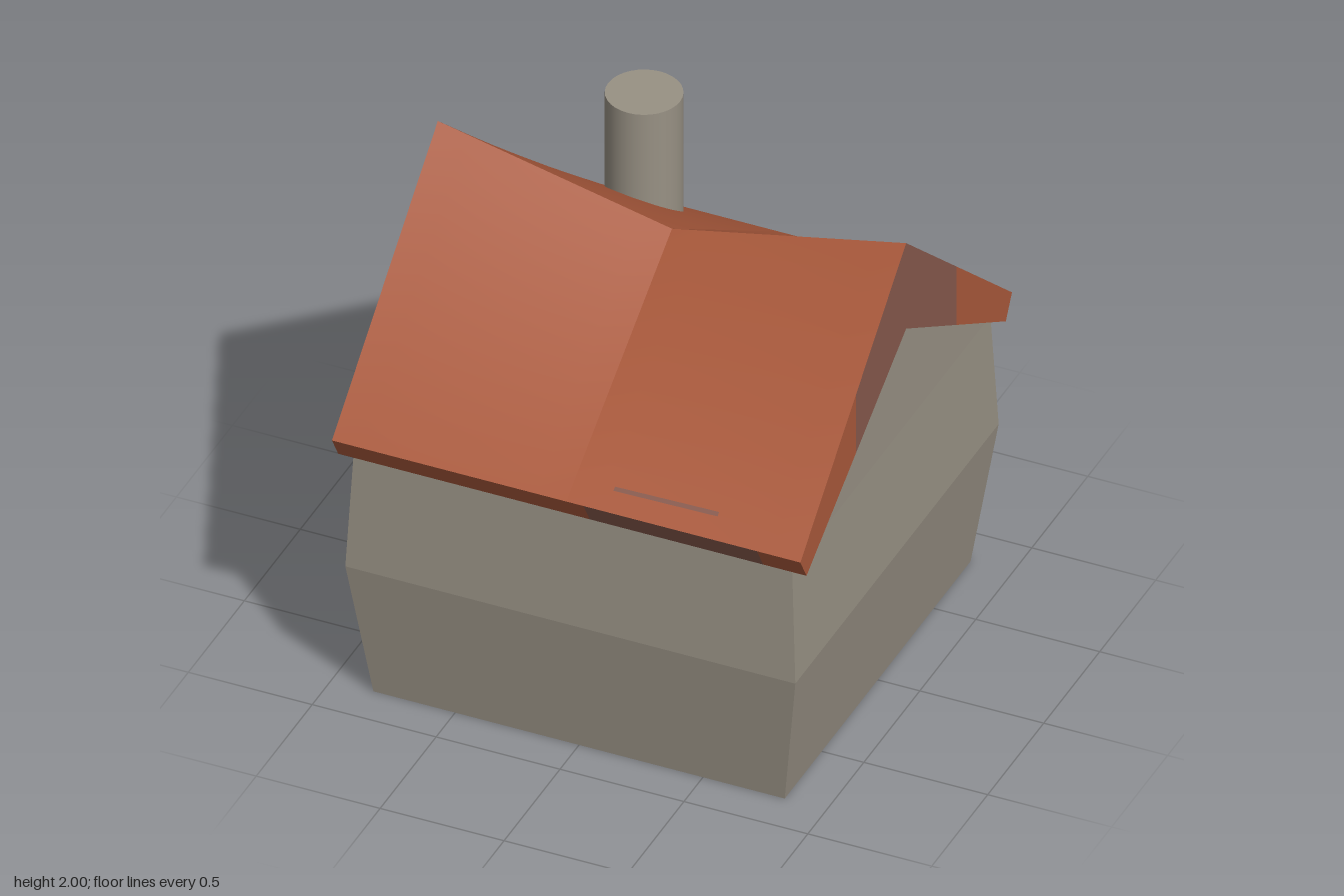
import * as THREE from 'three';

const mat = (name, color) => {
  const m = new THREE.MeshStandardMaterial({ color });
  m.name = name;
  return m;
};

// Bilinear surface over three or four corners, given counter-clockwise seen from outside
function patch(corners, n = 1) {
  const pos = [], idx = [];
  if (corners.length === 3) {
    pos.push(...corners.flat());
    idx.push(0, 1, 2);
  } else {
    const [a, b, c, d] = corners.map((p) => new THREE.Vector3(...p));
    for (let j = 0; j <= n; j++) {
      for (let i = 0; i <= n; i++) {
        const low = a.clone().lerp(b, i / n), high = d.clone().lerp(c, i / n);
        pos.push(...low.lerp(high, j / n).toArray());
        if (i < n && j < n) {
          const k = j * (n + 1) + i;
          idx.push(k, k + 1, k + n + 2, k, k + n + 2, k + n + 1);
        }
      }
    }
  }
  const g = new THREE.BufferGeometry();
  g.setAttribute('position', new THREE.Float32BufferAttribute(pos, 3));
  g.setIndex(idx);
  g.computeVertexNormals();
  return g;
}

// Mirror corners in x and/or z, keeping the outside facing out
function mirror(corners, sx, sz) {
  const m = corners.map(([x, y, z]) => [x * sx, y, z * sz]);
  return sx * sz < 0 ? m.reverse() : m;
}

export function createModel() {
  const house = new THREE.Group();
  house.name = 'house';
  const stone = mat('stoneGrey', 0x989184);
  const tile = mat('roofOrange', 0xab5a3c);
  const trim = mat('trimBrown', 0x885a4d);
  const wood = mat('woodBrown', 0xb0683a);
  const panel = mat('panelOchre', 0xb98d4a);

  const group = (name) => {
    const g = new THREE.Group();
    g.name = name;
    house.add(g);
    return g;
  };
  const add = (parent, name, geo, material) => {
    const m = new THREE.Mesh(geo, material);
    m.name = name;
    parent.add(m);
  };

  // Walls: square rings bulging out at mid height, then gables
  const walls = group('walls');
  const rings = [[0, 0.83], [0.59, 0.908], [1.085, 0.885]];
  const apex = [0.875, 1.62, 0];
  for (let i = 0; i < 2; i++) {
    const [y0, r0] = rings[i], [y1, r1] = rings[i + 1];
    for (const s of [1, -1]) {
      add(walls, 'eaveWall', patch(mirror(
        [[-r0, y0, r0], [r0, y0, r0], [r1, y1, r1], [-r1, y1, r1]], 1, s)), stone);
      add(walls, 'gableWall', patch(mirror(
        [[r0, y0, r0], [r0, y0, -r0], [r1, y1, -r1], [r1, y1, r1]], s, 1)), stone);
    }
  }
  const [topY, topR] = rings[2];
  for (const s of [1, -1]) {
    add(walls, 'gable', patch(mirror([[topR, topY, topR], [topR, topY, -topR], apex], s, 1)), stone);
  }
  add(walls, 'floor', patch([[-0.83, 0, -0.83], [0.83, 0, -0.83], [0.83, 0, 0.83], [-0.83, 0, 0.83]]), stone);

  // Roof: thick slopes with a ridge sagging in the middle
  const roof = group('roof');
  const R = 0.945, eaveY = 1.17, lipY = 1.075, lipZ = 0.89;
  const outerY = (z) => 2 - (2 - eaveY) * z / R;
  const innerY = (z) => 1.615 - (1.615 - lipY) * z / lipZ;
  const slopeY = (x, z) => eaveY + (1 - z / R) * (1.79 + 0.21 * x / R - eaveY);
  for (const sz of [1, -1]) {
    for (const sx of [1, -1]) {
      add(roof, 'slope', patch(mirror(
        [[0, eaveY, R], [R, eaveY, R], [R, 2, 0], [0, 1.79, 0]], sx, sz), 8), tile);
      add(roof, 'underside', patch(mirror(
        [[0, lipY, lipZ], [0, 1.405, 0], [R, 1.615, 0], [R, lipY, lipZ]], sx, sz), 8), tile);
      // Gable ends, brown near the ridge
      const cut = 0.45;
      add(roof, 'gableEndOuter', patch(mirror(
        [[R, lipY, lipZ], [R, innerY(cut), cut], [R, outerY(cut), cut], [R, eaveY, R]], sx, sz)), tile);
      add(roof, 'gableEndRidge', patch(mirror(
        [[R, innerY(cut), cut], [R, 1.615, 0], [R, 2, 0], [R, outerY(cut), cut]], sx, sz)), trim);
    }
    // Eave edge with a brown length
    for (const [x0, x1, m] of [[-R, 0.07, tile], [0.07, 0.77, trim], [0.77, R, tile]]) {
      add(roof, 'eaveEdge', patch(mirror(
        [[x0, lipY, lipZ], [x1, lipY, lipZ], [x1, eaveY, R], [x0, eaveY, R]], 1, sz)), m);
    }
    // Thin strip lying on the slope
    const on = (x, z) => [x, slopeY(x, z) + 0.004, z];
    add(roof, 'slopeStrip', patch(mirror(
      [on(0.16, 0.877), on(0.58, 0.877), on(0.58, 0.863), on(0.16, 0.863)], 1, sz)), trim);
  }

  // Chimney
  const chimney = new THREE.CylinderGeometry(0.145, 0.145, 0.78, 32);
  chimney.translate(-0.37, 1.54, -0.57);
  add(house, 'chimney', chimney, stone);

  // Door and beam: thin plates following the -x wall
  const wallX = (y) => (y < 0.59 ? 0.83 + 0.078 * y / 0.59 : 0.908 - 0.023 * (y - 0.59) / 0.495);
  const plate = (parent, name, z0, z1, y0, y1, material, inset = 0) => {
    const p = (y, z) => [-wallX(Math.min(y, 1.085)) - 0.005, y, z];
    add(parent, name, patch([p(y0, z0), p(y0, z1), p(y1, z1 - inset), p(y1, z0 + inset)]), material);
  };
  const door = group('door');
  plate(door, 'doorPost', -0.19, -0.14, 0, 0.55, wood);
  plate(door, 'doorPost', 0.3, 0.38, 0, 0.55, wood);
  plate(door, 'doorLintel', -0.19, 0.38, 0.55, 0.59, wood);
  plate(door, 'doorLintelTop', -0.19, 0.38, 0.59, 0.65, wood, 0.02);
  for (const [y0, y1] of [[0.01, 0.19], [0.25, 0.39], [0.44, 0.54]]) {
    plate(door, 'doorPanel', -0.13, 0.29, y0, y1, panel, 0.01);
  }
  plate(house, 'gableBeam', -0.73, 0.73, 1.17, 1.23, wood, 0.1);
  return house;
}
